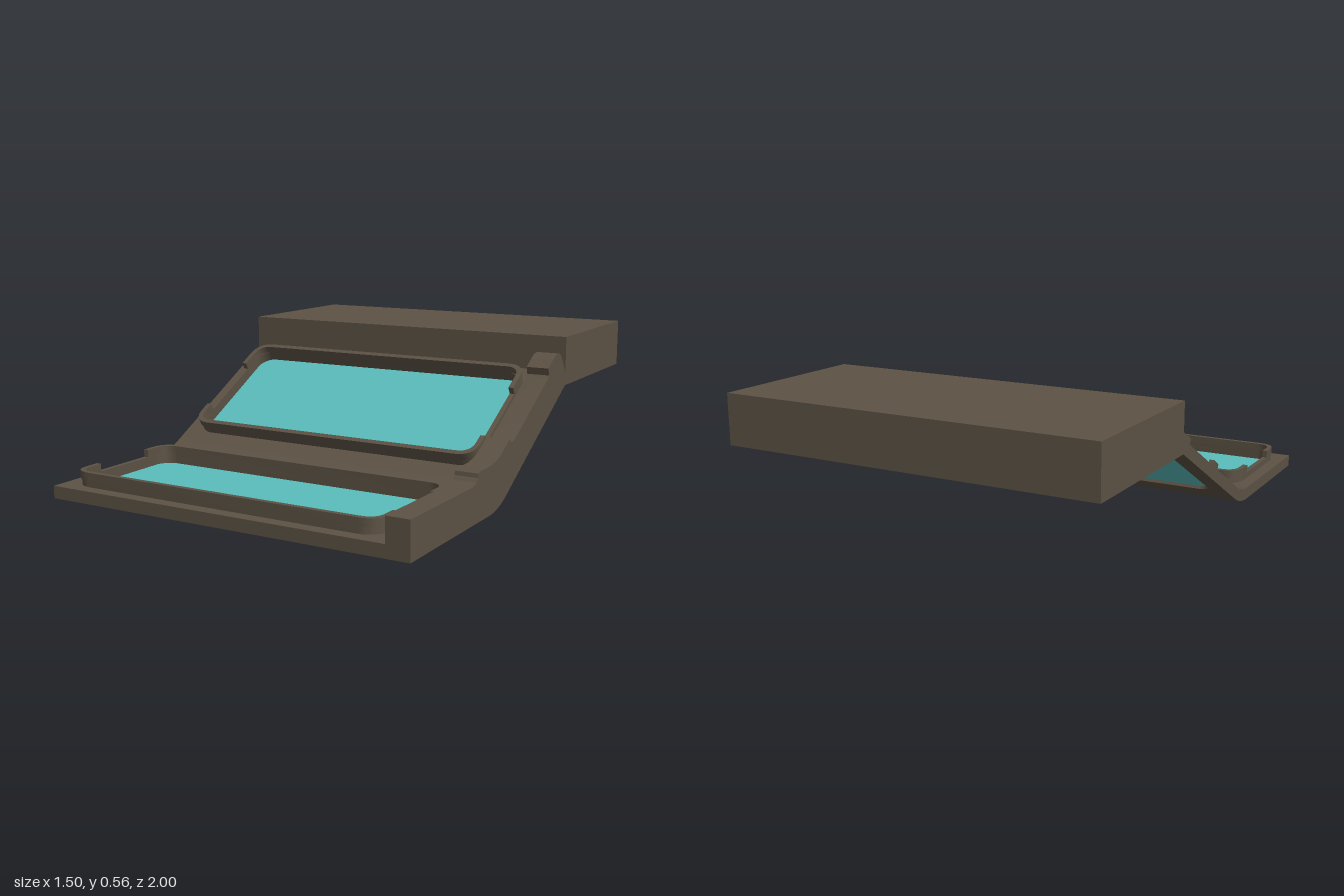
import * as THREE from 'three';
import { toCreasedNormals } from 'three/addons/utils/BufferGeometryUtils.js';

const casing = new THREE.MeshStandardMaterial({ color: 0x5c5244 });
const glass = new THREE.MeshStandardMaterial({ color: 0x5abcbc });

const T = 0.048;                        // plate thickness
const A = Math.atan(0.55);              // incline of the upper panel
const RIM_W = 0.02, RIM_H = 0.055, R = 0.08;
const X0 = -0.75, X1 = 0.66;            // plate width, up to the side rail
const F0 = -0.70, F1 = 0.61;            // outer width of the window rims
const BEND = { z: 0.405, y: 0.311, r: 0.311 };

function add(parent, name, geometry, material = casing) {
  const mesh = new THREE.Mesh(toCreasedNormals(geometry, 0.5), material);
  mesh.name = name;
  parent.add(mesh);
  return mesh;
}

function extrude(shape, depth, base = 0) {
  const g = new THREE.ExtrudeGeometry(shape, { depth, bevelEnabled: false, curveSegments: 8 });
  return g.translate(0, 0, base);
}

// Side profile of [z, y] points, swept across x
function sweep(points, x0, x1) {
  const shape = new THREE.Shape(points.map(([z, y]) => new THREE.Vector2(-z, y)));
  return extrude(shape, x1 - x0).rotateY(Math.PI / 2).translate(x0, 0, 0);
}

function roundRect(x0, y0, x1, y1, r, path = new THREE.Shape()) {
  path.moveTo(x0 + r, y0);
  path.lineTo(x1 - r, y0);
  path.absarc(x1 - r, y0 + r, r, -Math.PI / 2, 0);
  path.lineTo(x1, y1 - r);
  path.absarc(x1 - r, y1 - r, r, 0, Math.PI / 2);
  path.lineTo(x0 + r, y1);
  path.absarc(x0 + r, y1 - r, r, Math.PI / 2, Math.PI);
  path.lineTo(x0, y0 + r);
  path.absarc(x0 + r, y0 + r, r, Math.PI, Math.PI * 1.5);
  return path;
}

// U-shaped end of a rim, from its rounded end back to the side notch
function rimEnd(end, cut) {
  const s = Math.sign(end - cut), w = RIM_W;
  const p = new THREE.Shape();
  p.moveTo(F0, cut);
  p.lineTo(F0, end - s * R);
  p.quadraticCurveTo(F0, end, F0 + R, end);
  p.lineTo(F1 - R, end);
  p.quadraticCurveTo(F1, end, F1, end - s * R);
  p.lineTo(F1, cut);
  p.lineTo(F1 - w, cut);
  p.lineTo(F1 - w, end - s * R);
  p.quadraticCurveTo(F1 - w, end - s * w, F1 - R, end - s * w);
  p.lineTo(F0 + R, end - s * w);
  p.quadraticCurveTo(F0 + w, end - s * w, F0 + w, end - s * R);
  p.lineTo(F0 + w, cut);
  return p;
}

// Plate with a glazed window and a raised rim; local y runs towards the back
function windowPanel(name, [p0, p1], [v0, v1], [n0, n1]) {
  const g = new THREE.Group();
  g.name = name;
  const opening = path =>
    roundRect(F0 + RIM_W, v0 + RIM_W, F1 - RIM_W, v1 - RIM_W, R - RIM_W, path);

  const plate = new THREE.Shape();
  plate.moveTo(X0, p0);
  plate.lineTo(X1, p0);
  plate.lineTo(X1, p1);
  plate.lineTo(X0, p1);
  plate.holes.push(opening(new THREE.Path()));
  add(g, 'plate', extrude(plate, T));

  const ring = roundRect(F0, v0, F1, v1, R);
  ring.holes.push(opening(new THREE.Path()));
  const low = RIM_H * 0.45;             // rim height inside the side notches
  add(g, 'rimBase', extrude(ring, low, T));
  add(g, 'rimFront', extrude(rimEnd(v0, n0), RIM_H - low, T + low));
  add(g, 'rimBack', extrude(rimEnd(v1, n1), RIM_H - low, T + low));
  add(g, 'glass', extrude(opening(new THREE.Shape()), 0.02, 0.012), glass);
  return g;
}

export function createModel() {
  const model = new THREE.Group();
  model.name = 'steppedWindowPanel';

  // Rear block
  const block = add(model, 'rearBlock', new THREE.BoxGeometry(1.5, 0.195, 0.67));
  block.position.set(0, 0.4575, -0.665);

  // Flat front panel
  const lower = windowPanel('lowerPanel', [-0.595, 0], [-0.545, -0.015], [-0.415, -0.145]);
  lower.rotation.x = -Math.PI / 2;
  lower.position.z = BEND.z;
  model.add(lower);

  // Curved bend between the panels
  const arc = r => Array.from({ length: 9 }, (_, i) => {
    const a = A * i / 8;
    return [BEND.z - r * Math.sin(a), BEND.y - r * Math.cos(a)];
  });
  const under = arc(BEND.r);
  add(model, 'bend', sweep([...under, ...arc(BEND.r - T).reverse()], X0, X1));

  // Inclined panel
  const upper = windowPanel('upperPanel', [0, 0.695], [0.078, 0.648], [0.197, 0.494]);
  upper.rotation.x = A - Math.PI / 2;
  upper.position.set(0, under[8][1], under[8][0]);
  model.add(upper);

  // Stepped side rail
  add(model, 'sideRail', sweep([
    [1, 0], ...under, [-0.33, 0.36], [-0.33, 0.41],
    [-0.30, 0.456], [-0.28, 0.483], [-0.263, 0.496], [-0.24, 0.5], [-0.21, 0.494],
    [-0.18, 0.477], [-0.14, 0.453], [-0.147, 0.425], [-0.135, 0.412],
    [0.17, 0.243], [0.19, 0.233], [0.21, 0.229], [0.222, 0.234], [0.23, 0.245],
    [0.31, 0.202], [0.35, 0.188], [0.39, 0.181], [0.49, 0.18],
    [0.5, 0.175], [0.503, 0.16], [0.515, 0.146], [0.54, 0.137], [1, 0.14],
  ], X1, 0.75));

  return model;
}
